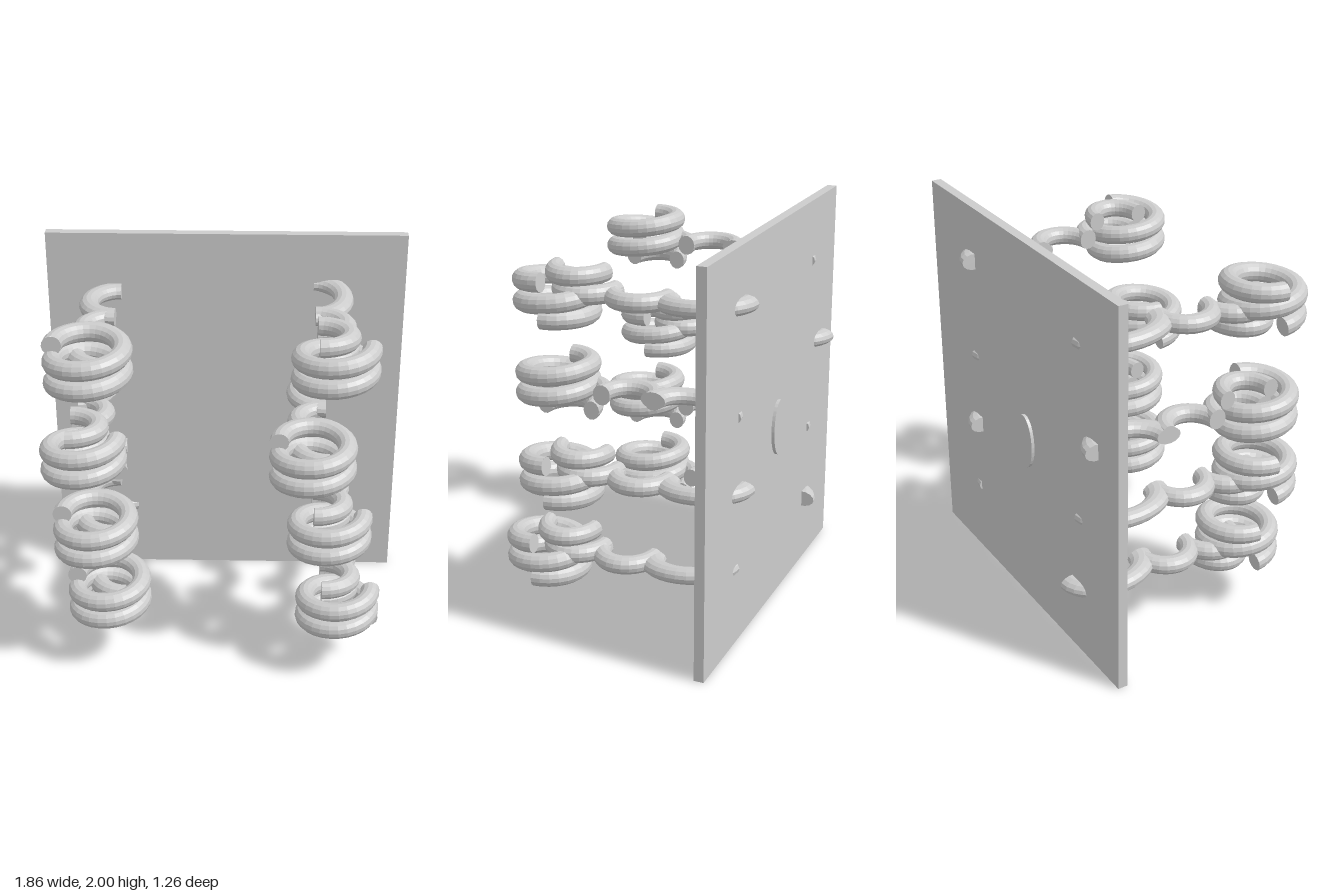
import * as THREE from 'three';
import { mergeGeometries } from 'three/addons/utils/BufferGeometryUtils.js';

const material = new THREE.MeshStandardMaterial({ color: 0xcccccc, flatShading: true });

function add(parent, name, geometry) {
  const mesh = new THREE.Mesh(geometry, material);
  mesh.name = name;
  parent.add(mesh);
  return mesh;
}

// Half ring lying flat, bulging to +x, with both cut ends on the x = 0 plane
function halfRing(R, r) {
  const ring = new THREE.TorusGeometry(R, r, 14, 14, Math.PI);
  ring.rotateZ(-Math.PI / 2).rotateX(Math.PI / 2);
  const caps = [-R, R].map((z) =>
    new THREE.CircleGeometry(r, 14).rotateY(-Math.PI / 2).translate(0, 0, z));
  return mergeGeometries([ring, ...caps]);
}

// Two-turn coil, starting low on the +x side and rising
class CoilCurve extends THREE.Curve {
  getPoint(t, target = new THREE.Vector3()) {
    const a = t * Math.PI * 4;
    const y = Math.max(-0.1, -0.132 + 0.21 * t);
    return target.set(0.08 + 0.165 * Math.cos(a), y, 0.415 - 0.165 * Math.sin(a));
  }
}

function coilGeometry() {
  const curve = new CoilCurve();
  const r = 0.048;
  const parts = [new THREE.TubeGeometry(curve, 56, r, 14, false)];
  for (const [t, sign] of [[0, -1], [1, 1]]) {
    const cap = new THREE.CircleGeometry(r, 14);
    const out = curve.getTangent(t).multiplyScalar(sign);
    cap.applyQuaternion(new THREE.Quaternion().setFromUnitVectors(new THREE.Vector3(0, 0, 1), out));
    const p = curve.getPoint(t);
    parts.push(cap.translate(p.x, p.y, p.z));
  }
  return mergeGeometries(parts);
}

// One curling arm: linked half rings ending in a coil
function createArm() {
  const arm = new THREE.Group();
  const ring = halfRing(0.15, 0.05);

  const root = add(arm, 'rootArc', ring);
  root.scale.set(1, 0.84, 1.28);
  root.position.set(0, 0.006, -0.318);
  root.rotation.x = 0.06;

  const middle = add(arm, 'middleArc', ring);
  middle.scale.set(1, 0.92, 0.9);
  middle.position.z = 0.01;

  const inner = add(arm, 'innerArc', ring);
  inner.scale.set(1, 0.95, 0.9);
  inner.position.set(0, 0.01, 0.28);

  add(arm, 'coil', coilGeometry());

  const tip = add(arm, 'tipArc', ring);
  tip.scale.set(1, 0.95, 0.83);
  tip.position.set(0, 0.092, 0.325);
  return arm;
}

export function createModel() {
  const model = new THREE.Group();
  model.name = 'coiledArmPanel';

  // Back panel and the oval button set in it
  add(model, 'panel', new THREE.BoxGeometry(1.86, 2, 0.05)).position.set(0, 1, -0.535);
  const button = add(model, 'ovalButton',
    new THREE.CylinderGeometry(1, 1, 0.066, 32).rotateX(Math.PI / 2));
  button.scale.set(0.085, 0.145, 1);
  button.position.set(-0.045, 0.94, -0.543);

  // Arms: x, y, z shift, half turn about z
  const arms = [
    [0.455, 1.7, -0.055, false], [-0.545, 1.7, 0, true],
    [0.52, 1.2, 0, true], [-0.755, 1.2, -0.055, false],
    [0.455, 0.78, -0.055, false], [-0.545, 0.78, 0, true],
    [0.505, 0.38, 0, false], [-0.495, 0.38, -0.055, true],
  ];
  const base = createArm();
  arms.forEach(([x, y, z, turned], i) => {
    const arm = base.clone();
    arm.name = `${i % 2 === 0 ? 'left' : 'right'}Arm${Math.floor(i / 2) + 1}`;
    arm.position.set(x, y, z);
    if (turned) arm.rotation.z = Math.PI;
    model.add(arm);
  });
  return model;
}
